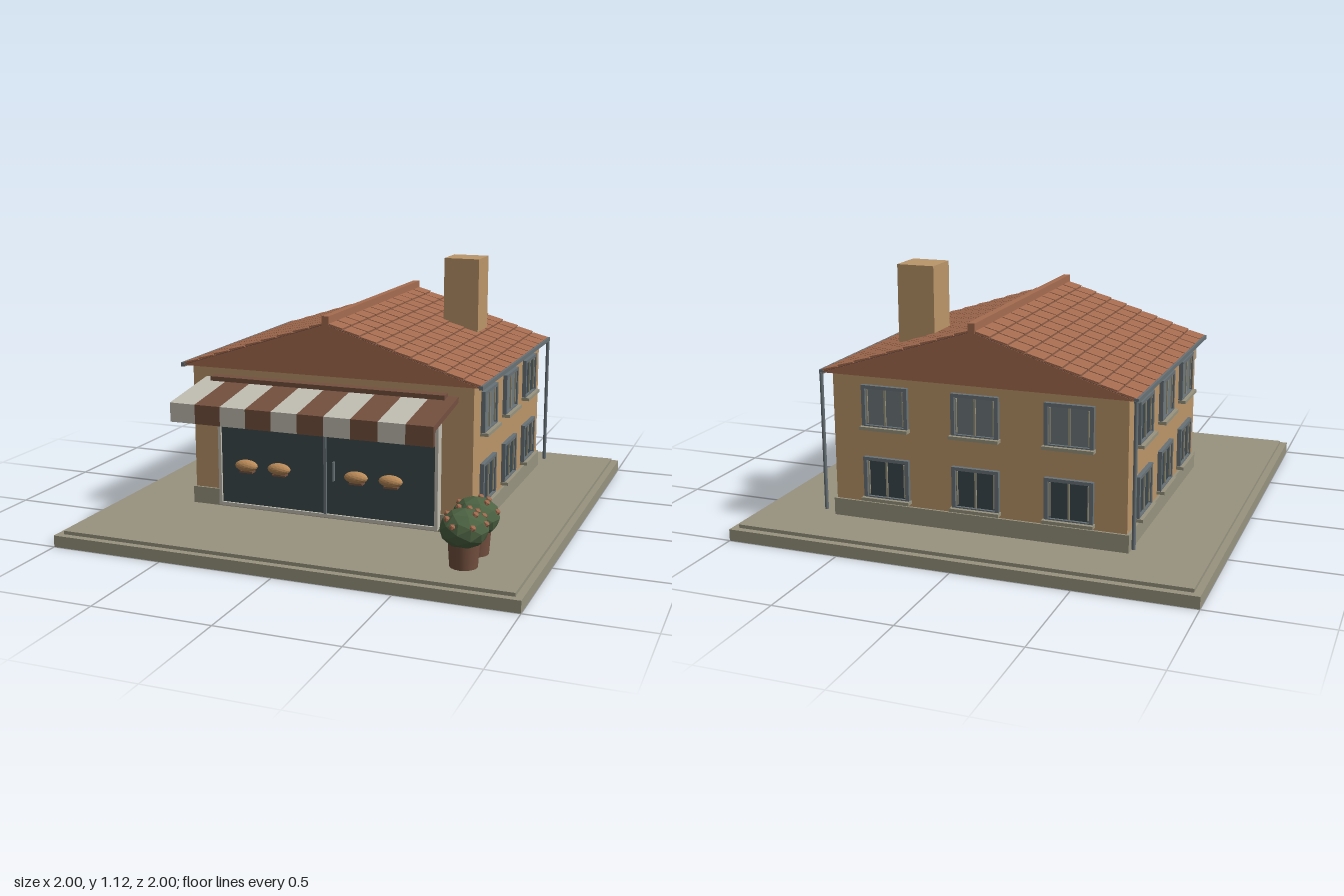
import * as THREE from 'three';

const mat = (name, color, opts = {}) => {
  const m = new THREE.MeshStandardMaterial({ color, ...opts });
  m.name = name;
  return m;
};

export function createModel() {
  const root = new THREE.Group();
  root.name = 'cornerBakery';
  const M = {
    stone: mat('stone', 0x98937f),
    wall: mat('plaster', 0xba966a),
    tile: mat('terracotta', 0xa56c50),
    brown: mat('darkBrown', 0x74503f),
    cream: mat('cream', 0xc2beb2),
    metal: mat('greyMetal', 0x687277),
    dark: mat('darkGlass', 0x3c484d),
    pale: mat('paleGlass', 0x6f797b),
    leaf: mat('leafGreen', 0x4c6242, { flatShading: true }),
    bread: mat('breadCrust', 0xb98a58, { flatShading: true }),
  };

  const add = (parent, name, geo, material, x = 0, y = 0, z = 0) => {
    const mesh = new THREE.Mesh(geo, material);
    mesh.name = name;
    mesh.position.set(x, y, z);
    parent.add(mesh);
    return mesh;
  };
  // Box given by its limits on each axis
  const box = (parent, name, material, x0, x1, y0, y1, z0, z1) =>
    add(parent, name, new THREE.BoxGeometry(x1 - x0, y1 - y0, z1 - z0), material,
      (x0 + x1) / 2, (y0 + y1) / 2, (z0 + z1) / 2);
  const group = (name, parent = root) => {
    const g = new THREE.Group();
    g.name = name;
    parent.add(g);
    return g;
  };

  // Ground and walls
  box(root, 'groundSlab', M.stone, -1, 1, 0, 0.05, -1, 1);
  box(root, 'pavement', M.stone, -0.97, 0.97, 0.05, 0.065, -0.97, 0.97);
  box(root, 'plinth', M.stone, -0.65, 0.65, 0.065, 0.14, -0.725, 0.42);
  box(root, 'walls', M.wall, -0.64, 0.64, 0.14, 0.7, -0.715, 0.41);

  // Roof body with solid gables
  const roof = group('roof');
  const zBack = -0.75, zFront = 0.44, depth = zFront - zBack;
  const gable = new THREE.Shape([
    new THREE.Vector2(-0.675, 0.695), new THREE.Vector2(0.675, 0.695), new THREE.Vector2(0, 0.915),
  ]);
  add(roof, 'roofBody', new THREE.ExtrudeGeometry(gable, { depth, bevelEnabled: false }), M.tile, 0, 0, zBack);

  // Overlapping tiles laid over a dark underlay
  const rows = 9, cols = 12;
  const slopeLength = Math.hypot(0.675, 0.22), angle = Math.atan2(0.22, 0.675);
  const rowLength = slopeLength / rows, colWidth = depth / cols;
  const tileGeo = new THREE.BoxGeometry(rowLength - 0.005, 0.007, colWidth - 0.009);
  for (const s of [-1, 1]) {
    const slope = group(s > 0 ? 'leftSlope' : 'rightSlope', roof);
    slope.position.set(0, 0.915, 0);
    slope.rotation.z = s > 0 ? -angle : Math.PI + angle;
    const up = s; // the mirrored slope is turned over
    add(slope, 'underlay', new THREE.BoxGeometry(slopeLength, 0.003, depth - 0.004), M.brown,
      slopeLength / 2, up * 0.001, (zFront + zBack) / 2 * 1);
    for (let r = 0; r < rows; r++) {
      for (let c = 0; c < cols; c++) {
        const t = add(slope, 'roofTile', tileGeo, M.tile,
          (r + 0.5) * rowLength, up * 0.006, zBack + (c + 0.5) * colWidth);
        t.rotation.z = up * 0.06;
      }
    }
  }
  box(roof, 'ridgeCap', M.tile, -0.015, 0.015, 0.9, 0.95, zBack, zFront);
  box(root, 'chimney', M.wall, 0.275, 0.44, 0.75, 1.12, -0.49, -0.33);

  // Gutters and rear downpipes
  for (const s of [-1, 1]) {
    const g = group(s > 0 ? 'leftGutter' : 'rightGutter');
    box(g, 'gutter', M.metal, s * 0.676 - 0.009, s * 0.676 + 0.009, 0.688, 0.706, zBack, zFront);
    add(g, 'downpipe', new THREE.CylinderGeometry(0.008, 0.008, 0.6, 10), M.metal, s * 0.676, 0.395, -0.747);
  }

  // Window built facing +z, then turned to its wall
  function makeWindow(name, x, y, z, turn, glass) {
    const w = group(name);
    w.position.set(x, y, z);
    w.rotation.y = turn;
    const W = 0.095, H = 0.085;
    box(w, 'glass', glass, -W, W, -H, H, -0.005, 0.006);
    for (const s of [-1, 1]) {
      box(w, 'frameSide', M.metal, s * W - 0.008, s * W + 0.008, -H, H, 0, 0.018);
      box(w, 'frameRail', M.metal, -W - 0.008, W + 0.008, s * H - 0.007, s * H + 0.007, 0, 0.018);
      box(w, 'sashSide', M.stone, s * 0.081 - 0.003, s * 0.081 + 0.003, -0.072, 0.072, 0, 0.012);
    }
    box(w, 'mullion', M.stone, -0.004, 0.004, -H, H, 0, 0.012);
    box(w, 'sill', M.stone, -0.108, 0.108, -H - 0.012, -H + 0.002, 0, 0.035);
  }
  [0.25, 0.56].forEach((y, floor) => {
    [0.2, -0.15, -0.5].forEach((z, i) => {
      const glass = floor === 1 && i < 2 ? M.pale : M.dark;
      makeWindow('leftWindow', 0.64, y, z, Math.PI / 2, glass);
      makeWindow('rightWindow', -0.64, y, z, -Math.PI / 2, glass);
    });
    [-0.4, 0, 0.4].forEach((x) =>
      makeWindow('backWindow', x, y, -0.715, Math.PI, floor ? M.pale : M.dark));
  });

  // Glazed shop front
  const shop = group('shopFront');
  box(shop, 'shopGlass', M.dark, -0.495, 0.495, 0.09, 0.53, 0.41, 0.445);
  for (const s of [-1, 1])
    box(shop, 'shopFrameSide', M.cream, s * 0.498 - 0.007, s * 0.498 + 0.007, 0.08, 0.54, 0.41, 0.455);
  box(shop, 'shopThreshold', M.cream, -0.505, 0.505, 0.08, 0.095, 0.41, 0.455);
  box(shop, 'shopLintel', M.cream, -0.505, 0.505, 0.525, 0.54, 0.41, 0.455);
  box(shop, 'shopMullion', M.metal, -0.006, 0.006, 0.095, 0.525, 0.44, 0.455);
  box(shop, 'doorHandle', M.metal, 0.037, 0.043, 0.245, 0.33, 0.445, 0.462);

  // Loaves on small trays
  const loafGeo = new THREE.IcosahedronGeometry(1, 2);
  for (const x of [-0.36, -0.205, 0.15, 0.305]) {
    const g = group('loafDisplay', shop);
    add(g, 'loaf', loafGeo, M.bread, x, 0.278, 0.473).scale.set(0.053, 0.026, 0.028);
    box(g, 'tray', M.brown, x - 0.03, x + 0.03, 0.246, 0.254, 0.445, 0.48);
  }

  // Striped awning: sloping cloth with a hanging valance
  const awning = group('awning');
  const profile = new THREE.Shape([
    [0.41, 0.63], [0.72, 0.583], [0.72, 0.518], [0.74, 0.518], [0.74, 0.6], [0.41, 0.648],
  ].map(([z, y]) => new THREE.Vector2(-z, y)));
  const stripeGeo = new THREE.ExtrudeGeometry(profile, { depth: 0.115, bevelEnabled: false });
  stripeGeo.rotateY(Math.PI / 2); // shape -z becomes +z, length runs along x
  for (let i = 0; i < 10; i++)
    add(awning, 'awningStripe', stripeGeo, i % 2 ? M.brown : M.cream, -0.575 + i * 0.115, 0, 0);
  const lining = box(awning, 'awningLining', M.brown, -0.574, 0.574, 0.601, 0.607, 0.41, 0.722);
  lining.rotation.x = Math.atan2(0.047, 0.31);
  lining.position.y = 0.602;
  box(awning, 'awningRoller', M.brown, -0.53, 0.53, 0.565, 0.66, 0.41, 0.462);

  // Potted shrubs with small blossoms
  const potGeo = new THREE.CylinderGeometry(0.063, 0.056, 0.1, 16);
  const bushGeo = new THREE.IcosahedronGeometry(0.098, 1);
  const blossomGeo = new THREE.IcosahedronGeometry(0.014, 0);
  for (const z of [0.61, 0.77]) {
    const p = group('pottedShrub');
    p.position.set(0.713, 0, z);
    add(p, 'pot', potGeo, M.brown, 0, 0.115, 0);
    add(p, 'shrub', bushGeo, M.leaf, 0, 0.218, 0).scale.y = 0.82;
    for (let i = 0; i < 9; i++) {
      const a = i * 2.4, h = 0.35 + (i % 3) * 0.24, r = Math.sqrt(1 - h * h) * 0.092;
      add(p, 'blossom', blossomGeo, M.tile, Math.cos(a) * r, 0.218 + h * 0.078, Math.sin(a) * r);
    }
  }
  return root;
}
